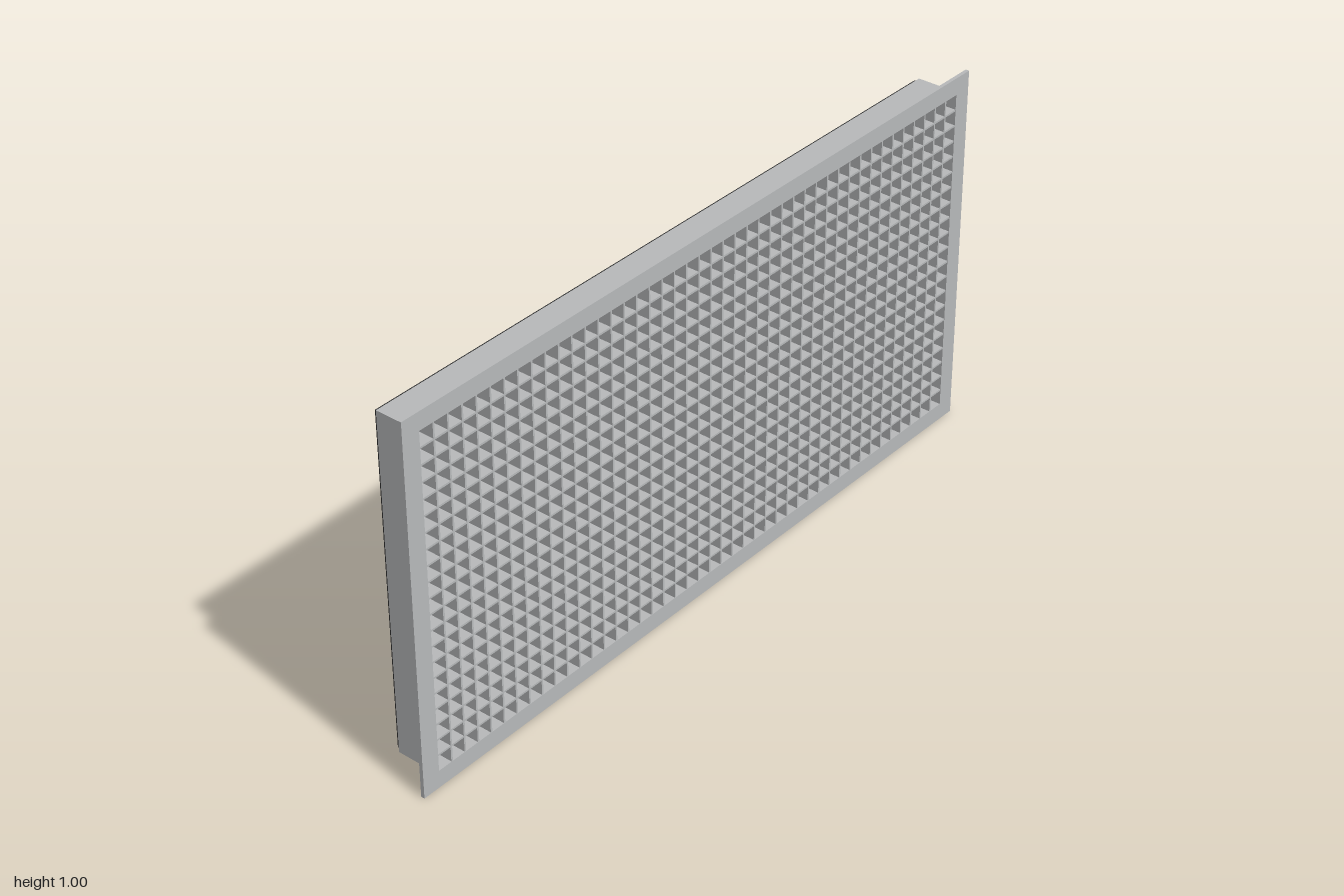
import * as THREE from 'three';
import { mergeGeometries } from 'three/addons/utils/BufferGeometryUtils.js';

const CY = 0.5;                       // height of the grille's centre
const OPEN_W = 1.9, OPEN_H = 0.906;   // clear opening
const COLS = 44, ROWS = 21, BAR = 0.005;

// Rectangular ring extruded between two depths
function ring(outW, outH, inW, inH, zBack, zFront) {
  const rect = (P, w, h) => {
    const p = new P();
    p.moveTo(-w / 2, -h / 2);
    p.lineTo(w / 2, -h / 2);
    p.lineTo(w / 2, h / 2);
    p.lineTo(-w / 2, h / 2);
    p.closePath();
    return p;
  };
  const shape = rect(THREE.Shape, outW, outH);
  shape.holes.push(rect(THREE.Path, inW, inH));
  const g = new THREE.ExtrudeGeometry(shape, { depth: zFront - zBack, bevelEnabled: false });
  return g.translate(0, CY, zBack);
}

// Evenly spaced bars dividing a span into cells
function bars(cells, span, makeBar) {
  const list = [];
  for (let i = 1; i < cells; i++) list.push(makeBar(-span / 2 + (i * span) / cells));
  return mergeGeometries(list);
}

export function createModel() {
  const metal = new THREE.MeshStandardMaterial({ color: 0xb8babb });
  metal.name = 'grey metal';
  const black = new THREE.MeshStandardMaterial({ color: 0x333333 });
  black.name = 'black backing';

  const group = new THREE.Group();
  group.name = 'eggCrateGrille';
  const add = (name, geometry, material) => {
    const mesh = new THREE.Mesh(geometry, material);
    mesh.name = name;
    group.add(mesh);
  };

  // Front flange and the collar behind it
  add('flange', ring(2, 1, OPEN_W, OPEN_H, 0.053, 0.063), metal);
  add('collar', ring(1.912, 0.915, OPEN_W, OPEN_H, -0.054, 0.053), metal);

  // Egg-crate core of crossing bars
  const zBack = -0.053, zFront = 0.062;
  const depth = zFront - zBack, zMid = (zFront + zBack) / 2;
  add('verticalBars', bars(COLS, OPEN_W, (x) =>
    new THREE.BoxGeometry(BAR, OPEN_H, depth).translate(x, CY, zMid)), metal);
  add('horizontalBars', bars(ROWS, OPEN_H, (y) =>
    new THREE.BoxGeometry(OPEN_W, BAR, depth).translate(0, CY + y, zMid)), metal);

  // Thin filter panel just behind the collar
  add('backPanel', new THREE.BoxGeometry(1.9, 0.904, 0.005).translate(0, CY, -0.0605), black);

  return group;
}
